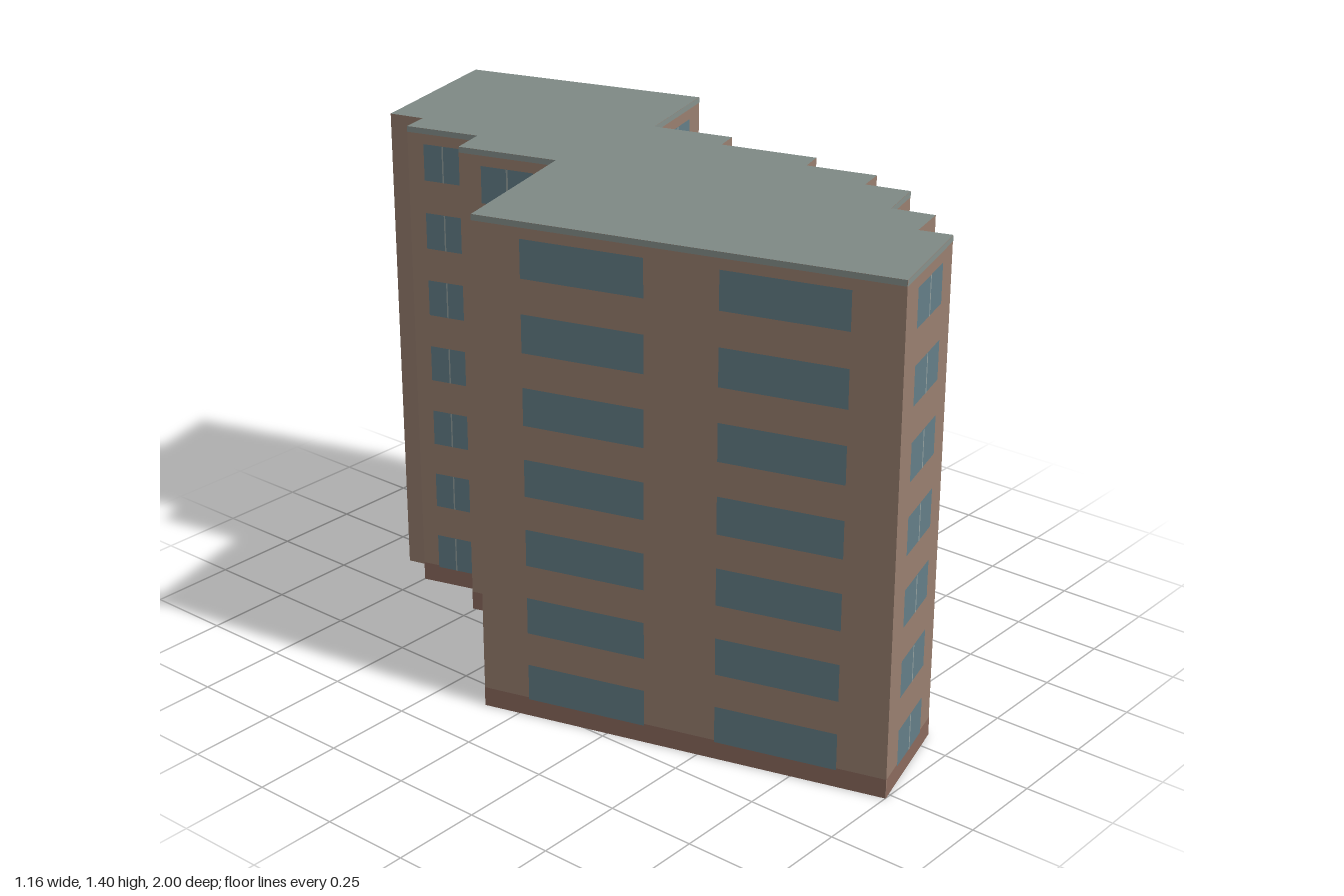
import * as THREE from 'three';
import { mergeGeometries } from 'three/addons/utils/BufferGeometryUtils.js';

const HEIGHT = 1.4, FLOORS = 7, STOREY = HEIGHT / FLOORS;

// Footprint corners (x, z), clockwise as seen from above
const FOOTPRINT = [
  [-0.58, -0.10], [-0.12, -0.23], [-0.20, -0.51], [-0.095, -0.54],
  [-0.155, -0.75], [-0.075, -0.77], [-0.10, -0.87], [0.38, -1.0],
  [0.58, -0.31], [0.28, -0.225], [0.34, 0.0], [0.27, 0.02],
  [0.34, 0.285], [0.27, 0.305], [0.32, 0.495], [0.24, 0.515],
  [0.27, 0.635], [0.127, 0.675], [0.155, 0.79], [0.035, 0.82],
  [0.06, 0.905], [-0.27, 1.0],
];

export function createModel() {
  const group = new THREE.Group();
  group.name = 'apartmentBlock';
  const parts = { walls: [], plinth: [], roofTrim: [], windows: [], mullions: [] };

  FOOTPRINT.forEach(([x0, z0], i) => {
    const [x1, z1] = FOOTPRINT[(i + 1) % FOOTPRINT.length];
    const dx = x1 - x0, dz = z1 - z0, length = Math.hypot(dx, dz);
    const toWall = new THREE.Matrix4()
      .makeRotationY(Math.atan2(dz, -dx))
      .setPosition((x0 + x1) / 2, 0, (z0 + z1) / 2);

    // Upright panel on this wall; u is measured from the wall's middle
    const panel = (part, u, width, bottom, top, layer) => {
      const g = new THREE.PlaneGeometry(width, top - bottom);
      g.translate(u, (bottom + top) / 2, layer * 0.001);
      parts[part].push(g.applyMatrix4(toWall));
    };

    panel('walls', 0, length, 0, HEIGHT, 0);
    if (length < 0.13) return; // narrow returns stay blank

    panel('plinth', 0, length, 0, 0.055, 1);
    panel('roofTrim', 0, length, HEIGHT - 0.016, HEIGHT, 1);

    // Long walls carry two plain windows per floor, others one split window
    const pair = length > 0.485;
    for (let f = 0; f < FLOORS; f++) {
      const bottom = f * STOREY + 0.05, top = bottom + 0.105;
      if (pair) {
        for (const s of [-1, 1]) panel('windows', s * 0.235 * length, 0.295 * length, bottom, top, 2);
      } else {
        panel('windows', 0, 0.54 * length, bottom, top, 2);
        panel('mullions', 0, 0.016 * length + 0.001, bottom, top, 3);
      }
    }
  });

  const colors = {
    walls: 0x9a8070, plinth: 0x8c6a5e, roofTrim: 0x87918d,
    windows: 0x647f88, mullions: 0x93a09f,
  };
  for (const [name, list] of Object.entries(parts)) {
    const material = new THREE.MeshStandardMaterial({ color: colors[name] });
    if (name === 'walls') material.side = THREE.DoubleSide;
    const mesh = new THREE.Mesh(mergeGeometries(list), material);
    mesh.name = name;
    group.add(mesh);
  }

  // Flat roof; the underside of the block is open
  const outline = new THREE.Shape(FOOTPRINT.map(([x, z]) => new THREE.Vector2(x, -z)));
  const roof = new THREE.Mesh(
    new THREE.ShapeGeometry(outline).rotateX(-Math.PI / 2).translate(0, HEIGHT, 0),
    new THREE.MeshStandardMaterial({ color: 0x7f8a86, side: THREE.DoubleSide }));
  roof.name = 'roof';
  group.add(roof);

  return group;
}
